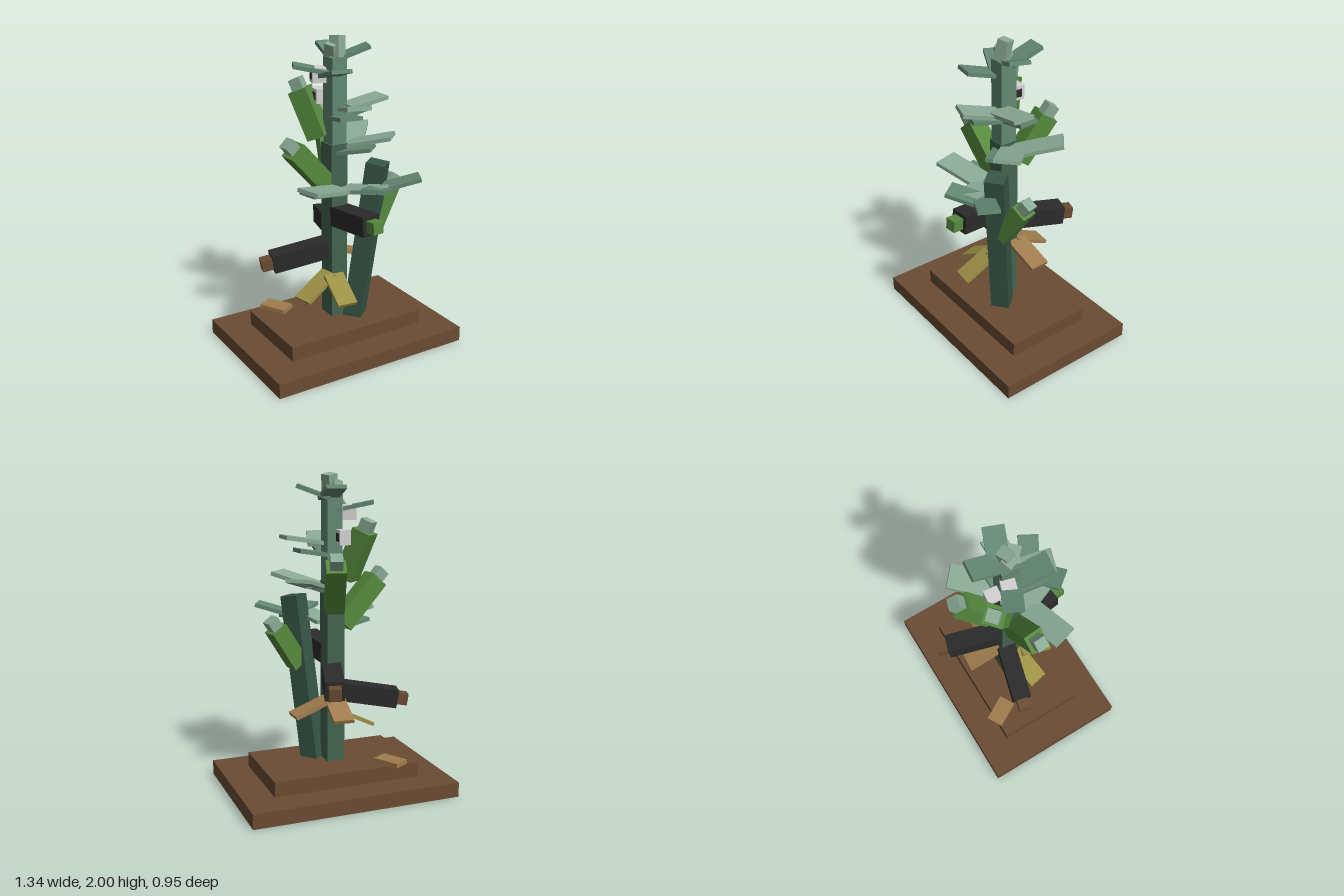
import * as THREE from 'three';

const mat = (name, color) => {
  const m = new THREE.MeshStandardMaterial({ color });
  m.name = name;
  return m;
};

export function createModel() {
  const root = new THREE.Group();
  root.name = 'plant';
  const soil = mat('soilBrown', 0x6b4c33);
  const tan = mat('dryTan', 0xa07c4e);
  const olive = mat('wiltedOlive', 0x9c9045);
  const husk = mat('huskGreen', 0x568a3e);
  const black = mat('rottenBlack', 0x2b2b2b);
  const white = mat('boxWhite', 0xd4d2d2);
  const stemDark = mat('stemGreen', 0x43634f);
  const stemYoung = mat('sideStemGreen', 0x375646);
  const leafMid = mat('leafGreen', 0x638873);
  const leafPale = mat('paleLeafGreen', 0x8aaa95);

  const V = (p) => new THREE.Vector3(...p);
  const box = (name, size, pos, material, parent = root) => {
    const mesh = new THREE.Mesh(new THREE.BoxGeometry(...size), material);
    mesh.name = name;
    mesh.position.set(...pos);
    parent.add(mesh);
    return mesh;
  };

  // Box running from a to b, its width kept level
  const bar = (name, a, b, width, thick, material, parent = root) => {
    const start = V(a), end = V(b);
    const dir = end.clone().sub(start);
    const length = dir.length();
    dir.normalize();
    const side = new THREE.Vector3(0, 1, 0).cross(dir).normalize();
    const up = dir.clone().cross(side);
    const mid = start.add(end).multiplyScalar(0.5);
    const mesh = box(name, [width, thick, length], mid.toArray(), material, parent);
    mesh.quaternion.setFromRotationMatrix(new THREE.Matrix4().makeBasis(side, up, dir));
    return mesh;
  };

  // Stepped soil base with a fallen leaf
  box('baseLower', [1.34, 0.095, 0.95], [0, 0.0475, 0], soil);
  box('baseUpper', [0.954, 0.095, 0.57], [0, 0.1425, 0], soil);
  box('fallenLeaf', [0.11, 0.028, 0.18], [-0.31, 0.204, -0.232], tan).rotation.y = 0.51;

  // Stems
  box('mainStemLower', [0.115, 1.15, 0.125], [-0.003, 0.765, -0.002], stemDark);
  box('mainStemUpper', [0.1, 0.53, 0.11], [0, 1.605, 0], leafMid);
  bar('sideStem', [0.095, 0.185, 0.087], [0.185, 1.235, 0.198], 0.12, 0.12, stemYoung);
  const tips = [[0.01, 1.93, 0.01, 0.12, 0.13], [-0.015, 1.91, -0.005, -0.2, 0.09]];
  tips.forEach(([x, y, z, tilt, h]) => {
    const tip = box('stemTip', [0.07, h, 0.07], [x, y, z], leafPale);
    tip.rotation.set(-tilt, 0.4, -tilt);
  });

  // Cobs: husk with a smaller cap at the far end
  const cob = (a, b, bodyMat, capMat, size) => {
    const g = new THREE.Group();
    g.name = 'cob';
    root.add(g);
    const dir = V(b).sub(V(a)).normalize();
    const capEnd = V(b).addScaledVector(dir, 0.07).toArray();
    bar('cobBody', a, b, size, size, bodyMat, g);
    bar('cobCap', b, capEnd, 0.075, 0.075, capMat, g);
  };
  cob([-0.06, 1.07, 0], [-0.305, 1.34, 0.02], husk, leafPale, 0.12);
  cob([-0.07, 1.37, -0.07], [-0.15, 1.66, -0.165], husk, leafPale, 0.12);
  cob([0.02, 1.19, -0.09], [0.075, 1.465, -0.265], husk, leafPale, 0.12);
  cob([0.18, 0.8, 0.14], [0.335, 1.045, 0.105], husk, leafPale, 0.11);
  cob([0, 0.88, 0.04], [0.03, 0.905, 0.365], black, husk, 0.125);
  cob([-0.05, 0.645, -0.03], [-0.395, 0.585, -0.12], black, soil, 0.118);
  cob([0.02, 0.775, -0.04], [0.125, 0.74, -0.37], black, soil, 0.12);

  // Leaves: start, end, width, colour
  [
    // crown
    [[0.02, 1.85, -0.03], [0.21, 1.925, 0.045], 0.125, leafMid],
    [[-0.06, 1.765, 0.02], [-0.09, 1.825, 0.225], 0.13, leafMid],
    [[-0.02, 1.775, 0.01], [-0.235, 1.825, -0.095], 0.12, leafMid],
    [[0.03, 1.85, -0.01], [0.05, 1.925, -0.205], 0.125, leafMid],
    // upper tiers
    [[0.04, 1.575, 0.075], [0.29, 1.615, 0.075], 0.145, leafPale],
    [[0.055, 1.56, 0.07], [-0.02, 1.615, 0.305], 0.146, leafPale],
    [[0.02, 1.505, 0], [0.23, 1.54, -0.01], 0.13, leafMid],
    [[0.01, 1.505, 0.03], [-0.03, 1.54, 0.235], 0.14, leafMid],
    // middle tier
    [[0.1, 1.32, 0.0], [0.29, 1.385, 0.2], 0.16, leafPale],
    [[0.08, 1.3, 0.04], [0.297, 1.385, -0.22], 0.158, leafPale],
    [[0.02, 1.285, 0.02], [0.16, 1.325, 0.18], 0.13, leafMid],
    // lower tier
    [[-0.03, 1.08, 0.14], [-0.325, 1.135, 0.22], 0.165, leafPale],
    [[0, 1.07, 0.1], [0.1, 1.12, 0.365], 0.155, leafPale],
    [[0, 1.03, 0.04], [-0.26, 1.075, 0.1], 0.13, leafMid],
    // side stem
    [[0.2, 1.085, 0.26], [0, 1.14, 0.415], 0.143, leafMid],
    [[0.14, 1.09, 0.26], [0.37, 1.16, 0.385], 0.133, leafMid],
    // drooping dead leaves
    [[0.05, 0.605, -0.06], [0.285, 0.52, -0.07], 0.13, tan],
    [[0.01, 0.61, -0.06], [0.03, 0.515, -0.285], 0.13, tan],
    [[-0.06, 0.49, 0.03], [-0.29, 0.37, 0.08], 0.13, olive],
    [[-0.055, 0.49, 0.07], [-0.08, 0.37, 0.28], 0.13, olive],
  ].forEach(([a, b, w, m]) => bar('leaf', a, b, w, 0.024, m));

  // Small white boxes with dark panels behind the stem
  [[-0.04, 1.62, -0.11, 0.1], [-0.095, 1.765, -0.04, 0.3]].forEach(([x, y, z, turn]) => {
    const g = new THREE.Group();
    g.name = 'whiteBox';
    g.position.set(x, y, z);
    g.rotation.y = -turn;
    root.add(g);
    box('boxShell', [0.085, 0.09, 0.085], [0, 0, 0], white, g);
    for (const s of [-1, 1]) box('boxPanel', [0.006, 0.05, 0.05], [s * 0.0435, 0, 0], black, g);
  });

  return root;
}
